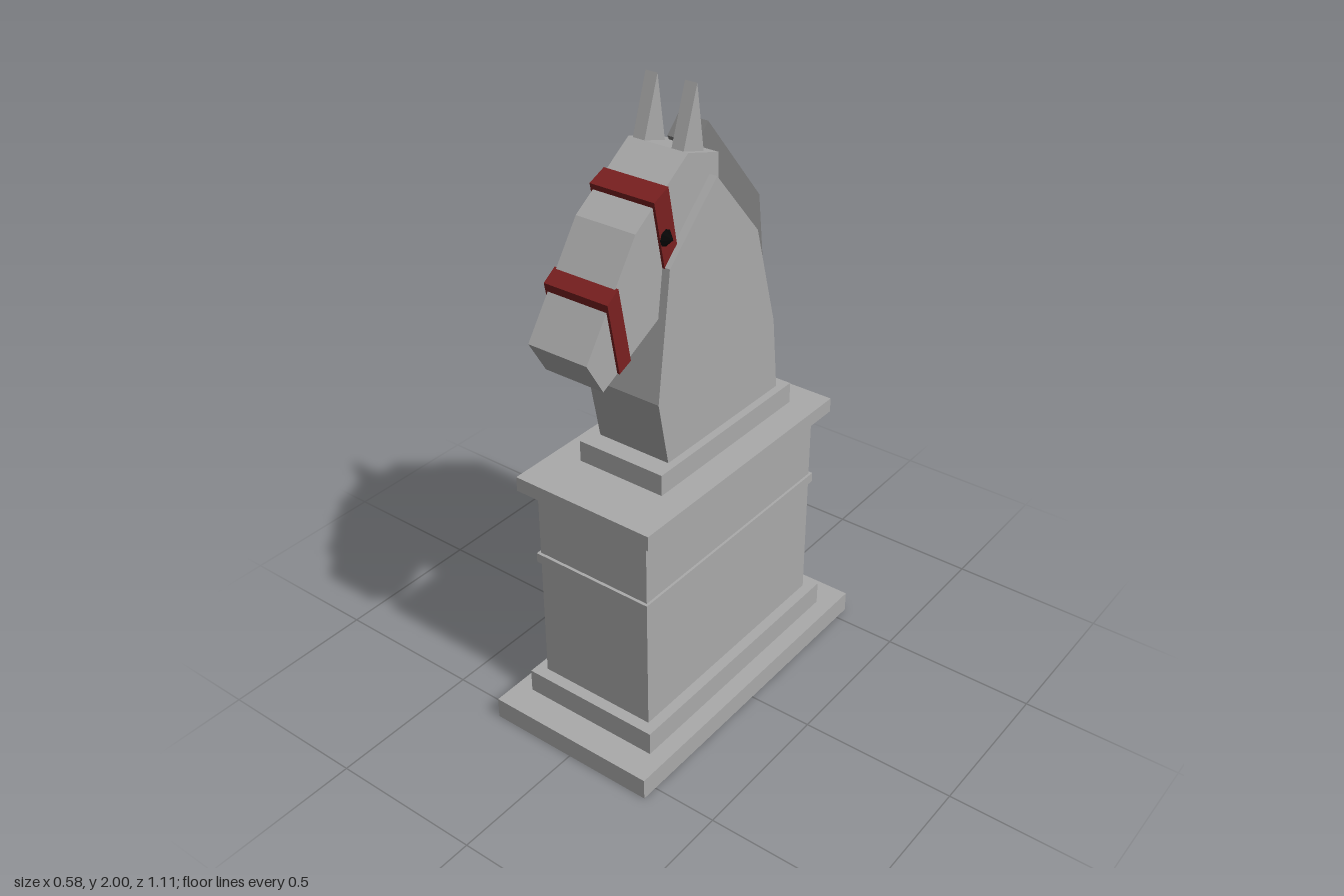
import * as THREE from 'three';

const material = (name, color, side = THREE.FrontSide) => {
  const m = new THREE.MeshStandardMaterial({ color, side });
  m.name = name;
  return m;
};

export function createModel() {
  const stone = material('stone grey', 0xaaaaaa, THREE.DoubleSide);
  const dark = material('mane grey', 0x7c7c7c);
  const red = material('bridle red', 0x7a2020);
  const black = material('eye black', 0x060606);
  const model = new THREE.Group();
  model.name = 'horseOnPedestal';

  const add = (name, geometry, mat) => {
    const mesh = new THREE.Mesh(geometry, mat);
    mesh.name = name;
    model.add(mesh);
    return mesh;
  };

  // Box from half width, height range and depth range; may be open underneath
  const tier = (name, hx, y0, y1, z0, z1, open = false) => {
    const g = new THREE.BoxGeometry(hx * 2, y1 - y0, z1 - z0);
    g.translate(0, (y0 + y1) / 2, (z0 + z1) / 2);
    if (open) {
      const index = Array.from(g.index.array);
      index.splice(18, 6); // bottom face
      g.setIndex(index);
      g.clearGroups();
    }
    add(name, g, stone);
  };

  // Side profile of [z, y] points, extruded across x
  const slab = (name, points, halfWidth, mat, x = 0) => {
    const shape = new THREE.Shape(points.map(([z, y]) => new THREE.Vector2(z, y)));
    const g = new THREE.ExtrudeGeometry(shape, { depth: halfWidth * 2, bevelEnabled: false });
    g.translate(0, 0, -halfWidth);
    g.rotateY(-Math.PI / 2);
    g.translate(x, 0, 0);
    add(name, g, mat);
  };

  // Pedestal, hollow below
  tier('pedestalBase', 0.29, 0, 0.07, -0.553, 0.553, true);
  tier('pedestalStep', 0.235, 0.07, 0.147, -0.455, 0.455, true);
  tier('pedestalBody', 0.2, 0.147, 0.825, -0.417, 0.417, true);
  tier('pedestalBelt', 0.208, 0.565, 0.597, -0.427, 0.427);
  tier('pedestalCornice', 0.241, 0.825, 0.872, -0.459, 0.459);
  tier('neckPlinth', 0.15, 0.872, 0.94, -0.364, 0.281);

  // Neck and mane
  slab('neck', [
    [0.218, 0.94], [0.26, 1.15], [0.207, 1.545], [0, 1.74],
    [-0.2, 1.51], [-0.297, 1.18], [-0.324, 0.94],
  ], 0.125, stone);
  slab('mane', [
    [-0.01, 1.81], [-0.06, 1.86], [-0.313, 1.56], [-0.392, 0.935],
    [-0.34, 0.92], [-0.26, 1.2], [-0.17, 1.5],
  ], 0.05, dark);

  // Head
  slab('head', [
    [-0.04, 1.79], [0.095, 1.83], [0.318, 1.68], [0.525, 1.385],
    [0.462, 1.28], [0.22, 1.4], [0.05, 1.5], [-0.04, 1.62],
  ], 0.1, stone);

  // Bridle straps
  slab('browStrap', [[0.25, 1.745], [0.19, 1.77], [0.153, 1.59], [0.207, 1.54]], 0.108, red);
  slab('noseStrap', [[0.445, 1.53], [0.4, 1.56], [0.355, 1.33], [0.403, 1.31]], 0.108, red);

  // Ears and eyes, mirrored
  for (const [side, s] of [['left', 1], ['right', -1]]) {
    slab(side + 'Ear', [[0.095, 1.83], [0.037, 2], [0.005, 1.79]], 0.02, stone, s * 0.065);
    const eye = new THREE.SphereGeometry(0.025, 8, 2).toNonIndexed();
    eye.computeVertexNormals();
    eye.rotateZ(Math.PI / 2);
    add(side + 'Eye', eye, black).position.set(s * 0.108, 1.63, 0.202);
  }
  return model;
}
